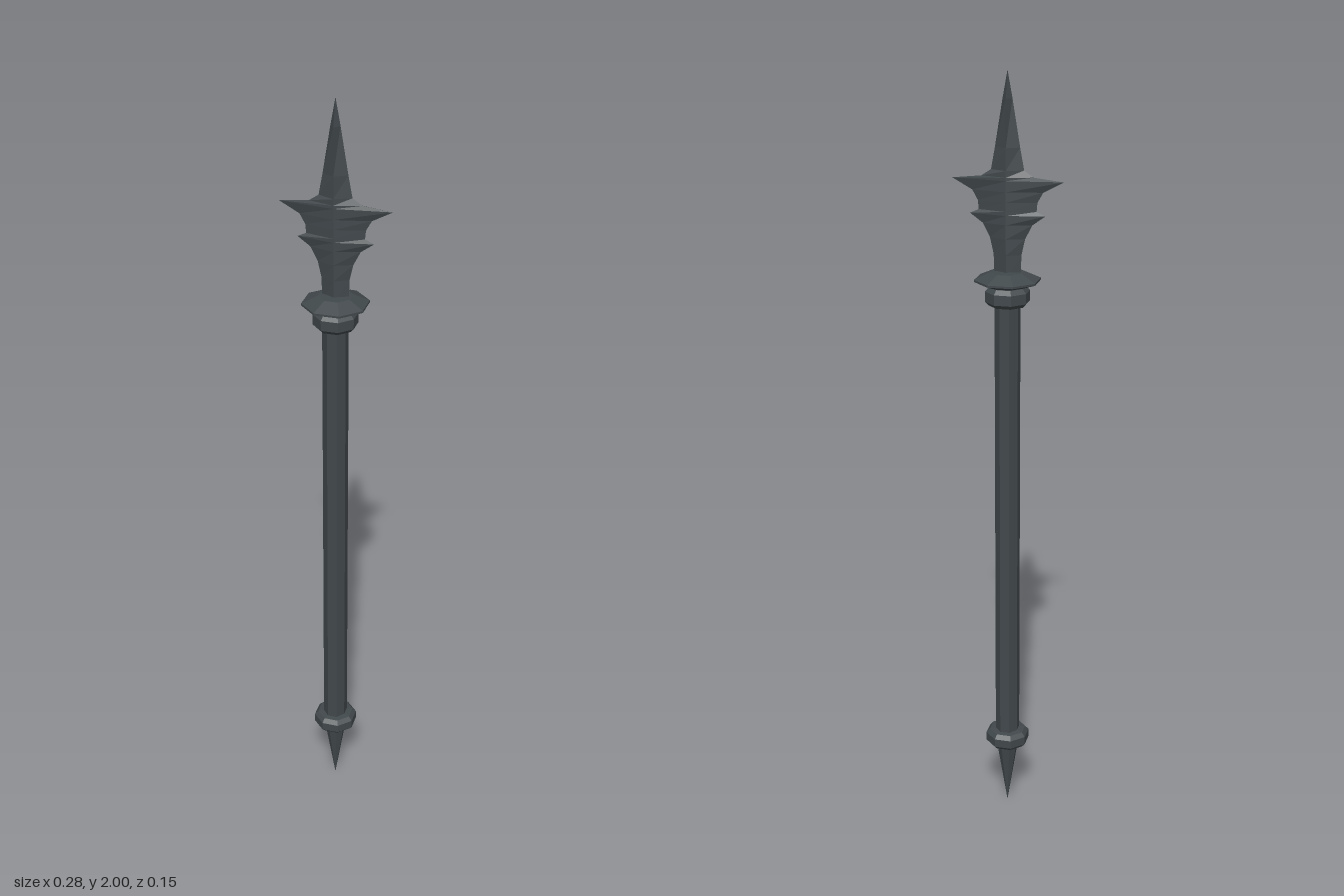
import * as THREE from 'three';

const darkIron = new THREE.MeshStandardMaterial({ color: 0x41484b, flatShading: true });
darkIron.name = 'darkIron';

// Eight-sided turned part; profile is [distance to flat, height] from bottom to top
function turned(name, profile) {
  const k = 1 / Math.cos(Math.PI / 8);
  const points = profile.map(([r, y]) => new THREE.Vector2(r * k, y));
  const mesh = new THREE.Mesh(new THREE.LatheGeometry(points, 8, Math.PI / 8), darkIron);
  mesh.name = name;
  return mesh;
}

// Blade with a central ridge and sharp edges; rows are [half width, height, half thickness]
function bladeGeometry(rows) {
  const positions = [];
  const index = [];
  for (const [x, y, z] of rows) positions.push(x, y, 0, 0, y, z, -x, y, 0, 0, y, -z);
  for (let i = 0; i < rows.length - 1; i++) {
    for (let j = 0; j < 4; j++) {
      const a = i * 4 + j;
      const b = i * 4 + (j + 1) % 4;
      index.push(a, a + 4, b, b, a + 4, b + 4);
    }
  }
  const geometry = new THREE.BufferGeometry();
  geometry.setAttribute('position', new THREE.Float32BufferAttribute(positions, 3));
  geometry.setIndex(index);
  // Turn the faces outward
  for (let i = 0; i < index.length; i += 3) {
    [index[i + 1], index[i + 2]] = [index[i + 2], index[i + 1]];
  }
  geometry.setIndex(index);
  // The ring order runs +x, +z, -x, -z, so swapped corners face out
  const flat = geometry.toNonIndexed();
  const p = flat.attributes.position;
  const a = new THREE.Vector3(), b = new THREE.Vector3(), c = new THREE.Vector3();
  for (let i = 0; i < p.count; i += 3) {
    a.fromBufferAttribute(p, i);
    b.fromBufferAttribute(p, i + 1);
    c.fromBufferAttribute(p, i + 2);
    const mid = a.clone().add(b).add(c);
    const n = b.clone().sub(a).cross(c.clone().sub(a));
    if (n.z * mid.z < 0) {
      p.setXYZ(i + 1, c.x, c.y, c.z);
      p.setXYZ(i + 2, b.x, b.y, b.z);
    }
  }
  flat.computeVertexNormals();
  return flat;
}

export function createModel() {
  const group = new THREE.Group();
  group.name = 'spear';

  const shaft = turned('shaft', [[0.033, 0.2], [0.033, 1.46]]);
  shaft.scale.x = 0.9;
  group.add(shaft);

  // Foot spike and its collar
  group.add(turned('footSpike', [[0, 0], [0.029, 0.2]]));
  group.add(turned('lowerCollar', [
    [0.028, 0.185], [0.045, 0.188], [0.054, 0.198], [0.054, 0.221], [0.045, 0.232], [0.028, 0.235],
  ]));

  // Collar and guard below the blade
  group.add(turned('upperCollar', [
    [0.028, 1.43], [0.043, 1.433], [0.052, 1.443], [0.052, 1.469], [0.043, 1.48], [0.028, 1.483],
  ]));
  group.add(turned('guard', [
    [0, 1.476], [0.035, 1.478], [0.077, 1.494], [0.077, 1.499], [0.04, 1.517], [0, 1.519],
  ]));

  // Blade with two pairs of side barbs
  const blade = new THREE.Mesh(bladeGeometry([
    [0.033, 1.5, 0.018],
    [0.035, 1.56, 0.018],
    [0.044, 1.6, 0.018],
    [0.062, 1.635, 0.018],
    [0.094, 1.658, 0.018],
    [0.072, 1.668, 0.018],
    [0.074, 1.69, 0.018],
    [0.088, 1.715, 0.018],
    [0.138, 1.742, 0.018],
    [0.065, 1.75, 0.018],
    [0.041, 1.766, 0.018],
    [0.031, 1.82, 0.018],
    [0.012, 1.935, 0.018],
    [0, 2, 0],
  ]), darkIron);
  blade.name = 'blade';
  group.add(blade);

  return group;
}
